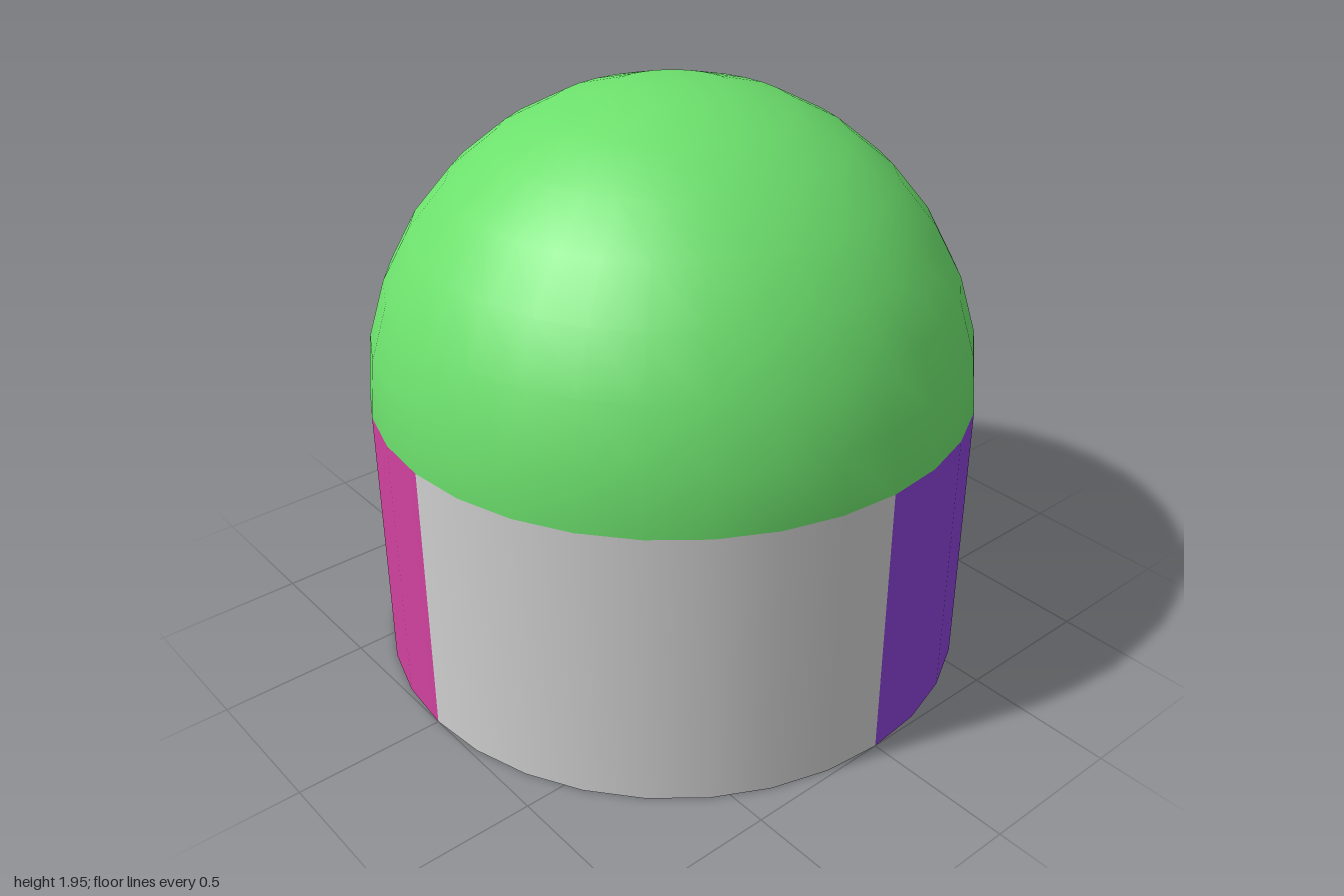
import * as THREE from 'three';

const OUTER = 1, INNER = 0.885, WALL = 0.945, SIDES = 32;

function paint(name, color) {
  const m = new THREE.MeshStandardMaterial({ color });
  m.name = name;
  return m;
}

export function createModel() {
  const group = new THREE.Group();
  group.name = 'domedCylinder';

  const add = (name, geometry, material) => {
    const mesh = new THREE.Mesh(geometry, material);
    mesh.name = name;
    group.add(mesh);
    return mesh;
  };
  const lathe = (points, segments, start, length) => new THREE.LatheGeometry(
    points.map(([r, y]) => new THREE.Vector2(r, y)), segments, start, length);

  // Four coloured quarters of the wall, each with its share of the bottom rim
  const quarters = [
    ['frontLeft', paint('purple', 0x8a43d6)],
    ['backLeft', paint('orange', 0xdd9142)],
    ['backRight', paint('magenta', 0xd1429f)],
    ['frontRight', paint('lightGrey', 0xd0d0d0)],
  ];
  const quarter = Math.PI / 2;
  quarters.forEach(([name, material], i) => {
    add(name + 'Wall', lathe([[OUTER, 0], [OUTER, WALL]], SIDES / 4, i * quarter, quarter), material);
    add(name + 'Rim', lathe([[INNER, 0], [OUTER, 0]], SIDES / 4, i * quarter, quarter), material);
  });

  // Hemispherical roof
  const dome = add('dome',
    new THREE.SphereGeometry(OUTER, SIDES, SIDES / 4, 0, Math.PI * 2, 0, quarter),
    paint('green', 0x6ce06c));
  dome.position.y = WALL;

  // Hollow interior: domed ceiling running down into the straight inner wall
  const lining = [];
  for (let i = 0; i <= 8; i++) {
    const a = (i / 8) * quarter;
    lining.push([INNER * Math.sin(a), WALL + INNER * Math.cos(a)]);
  }
  lining.push([INNER, 0]);
  add('lining', lathe(lining, SIDES, 0, Math.PI * 2), paint('cyan', 0x43d3e0));

  return group;
}
